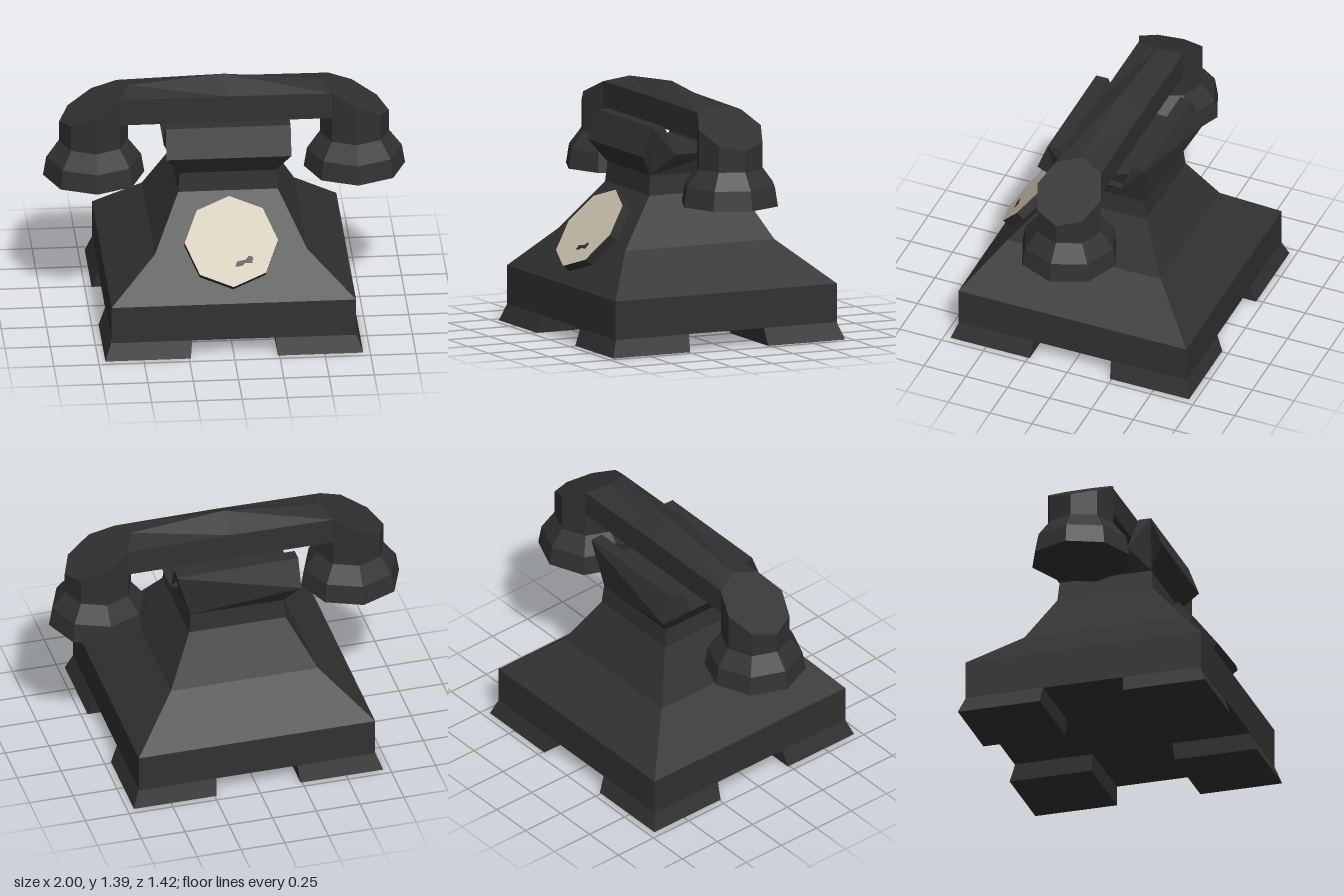
import * as THREE from 'three';

// Joins cross-sections of equal point count into a closed, flat-faced solid.
function loft(rings) {
  const pos = [];
  const tri = (a, b, c) => pos.push(...a, ...b, ...c);
  const n = rings[0].length;
  for (let k = 0; k < rings.length - 1; k++) {
    const lo = rings[k], hi = rings[k + 1];
    for (let i = 0; i < n; i++) {
      const j = (i + 1) % n;
      tri(lo[i], lo[j], hi[j]);
      tri(lo[i], hi[j], hi[i]);
    }
  }
  const first = rings[0], last = rings[rings.length - 1];
  for (let i = 1; i < n - 1; i++) {
    tri(first[0], first[i + 1], first[i]);
    tri(last[0], last[i], last[i + 1]);
  }
  const g = new THREE.BufferGeometry();
  g.setAttribute('position', new THREE.Float32BufferAttribute(pos, 3));
  g.computeVertexNormals();
  return g;
}

// Horizontal rectangle at height y
const rect = (y, x0, x1, z0, z1) => [[x0, y, z1], [x1, y, z1], [x1, y, z0], [x0, y, z0]];

// Horizontal octagon around (cx, 0); slope tilts it along x
function octagon(cx, y, r, slope = 0) {
  return Array.from({ length: 8 }, (_, i) => {
    const a = i * Math.PI / 4, dx = r * Math.sin(a);
    return [cx + dx, y + slope * dx, r * Math.cos(a)];
  });
}

export function createModel() {
  const black = new THREE.MeshStandardMaterial({ color: 0x313131 });
  black.name = 'black casing';
  const cream = new THREE.MeshStandardMaterial({ color: 0xcac2ae });
  cream.name = 'cream dial';

  const model = new THREE.Group();
  model.name = 'telephone';
  const add = (name, geometry, material = black, parent = model) => {
    const mesh = new THREE.Mesh(geometry, material);
    mesh.name = name;
    parent.add(mesh);
    return mesh;
  };

  // Body: straight front slope, bent sides and back
  add('body', loft([
    rect(0.095, -0.675, 0.675, -0.68, 0.68),
    rect(0.31, -0.675, 0.675, -0.68, 0.68),
    rect(0.54, -0.42, 0.42, -0.42, 0.494),
    rect(0.81, -0.275, 0.275, -0.275, 0.275),
    rect(0.92, -0.265, 0.265, -0.265, 0.265),
  ]));

  // Four flared corner feet
  for (const sx of [-1, 1]) for (const sz of [-1, 1]) {
    const foot = (y, inner, outer) => {
      const xs = [sx * inner, sx * outer].sort((a, b) => a - b);
      const zs = [sz * inner, sz * outer].sort((a, b) => a - b);
      return rect(y, ...xs, ...zs);
    };
    add('foot', loft([foot(0, 0.24, 0.712), foot(0.095, 0.23, 0.677)]));
  }

  // Cradle: grooved profile pulled along x and narrowed at its base
  const profile = new THREE.Shape([
    [-0.265, 0.92], [0.265, 0.92], [0.348, 1.04], [0.287, 1.2], [0.215, 1.2],
    [0.15, 1.04], [-0.15, 1.04], [-0.215, 1.2], [-0.287, 1.2], [-0.348, 1.04],
  ].map(([x, y]) => new THREE.Vector2(x, y)));
  const cradle = new THREE.ExtrudeGeometry(profile, { depth: 0.69, bevelEnabled: false });
  cradle.translate(0, 0, -0.345).rotateY(Math.PI / 2);
  const p = cradle.attributes.position;
  for (let i = 0; i < p.count; i++) {
    if (p.getY(i) < 0.95) p.setX(i, p.getX(i) * 0.768);
    // the back left corner is chamfered away
    if (p.getX(i) > 0.3 && p.getZ(i) < -0.33) {
      p.setY(i, 1.19);
      p.setZ(i, -0.29);
    }
  }
  cradle.computeVertexNormals();
  add('cradle', cradle);

  // Handset: ridged grip and two octagonal end pieces with slanted tops
  const handset = new THREE.Group();
  handset.name = 'handset';
  model.add(handset);
  const grip = (x, ridgeX, ridgeY, shoulderY) => [
    [x, 1.16, -0.134], [x, shoulderY, -0.134], [ridgeX, ridgeY, 0],
    [x, shoulderY, 0.134], [x, 1.16, 0.134],
  ];
  add('grip', loft([
    grip(-0.586, -0.53, 1.34, 1.31),
    grip(0, 0, 1.39, 1.315),
    grip(0.586, 0.53, 1.34, 1.31),
  ]), black, handset);
  for (const s of [-1, 1]) {
    const cx = s * 0.72;
    add(s < 0 ? 'earpiece' : 'mouthpiece', loft([
      octagon(cx, 0.812, 0.28),
      octagon(cx, 0.92, 0.262),
      octagon(cx, 1.015, 0.19),
      octagon(cx, 1.2375, 0.19, -s * 0.54),
    ]), black, handset);
  }

  // Dial: tilted octagonal disc with a cream face and a small dark mark
  const dial = new THREE.Group();
  dial.name = 'dial';
  dial.position.set(0, 0.6075, 0.5075);
  dial.rotation.x = 0.894;
  model.add(dial);
  const disc = new THREE.CylinderGeometry(0.258, 0.258, 0.065, 8).toNonIndexed();
  disc.computeVertexNormals();
  add('dialDisc', disc, [black, cream, black], dial).position.y = -0.0325;

  const mark = new THREE.ShapeGeometry(new THREE.Shape([
    [0.015, -0.145], [0.055, -0.14], [0.07, -0.125], [0.11, -0.125],
    [0.115, -0.09], [0.09, -0.085], [0.075, -0.105], [0.025, -0.115],
  ].map(([x, y]) => new THREE.Vector2(x, y))));
  mark.rotateX(-Math.PI / 2);
  add('dialMark', mark, black, dial).position.y = 0.003;

  return model;
}
